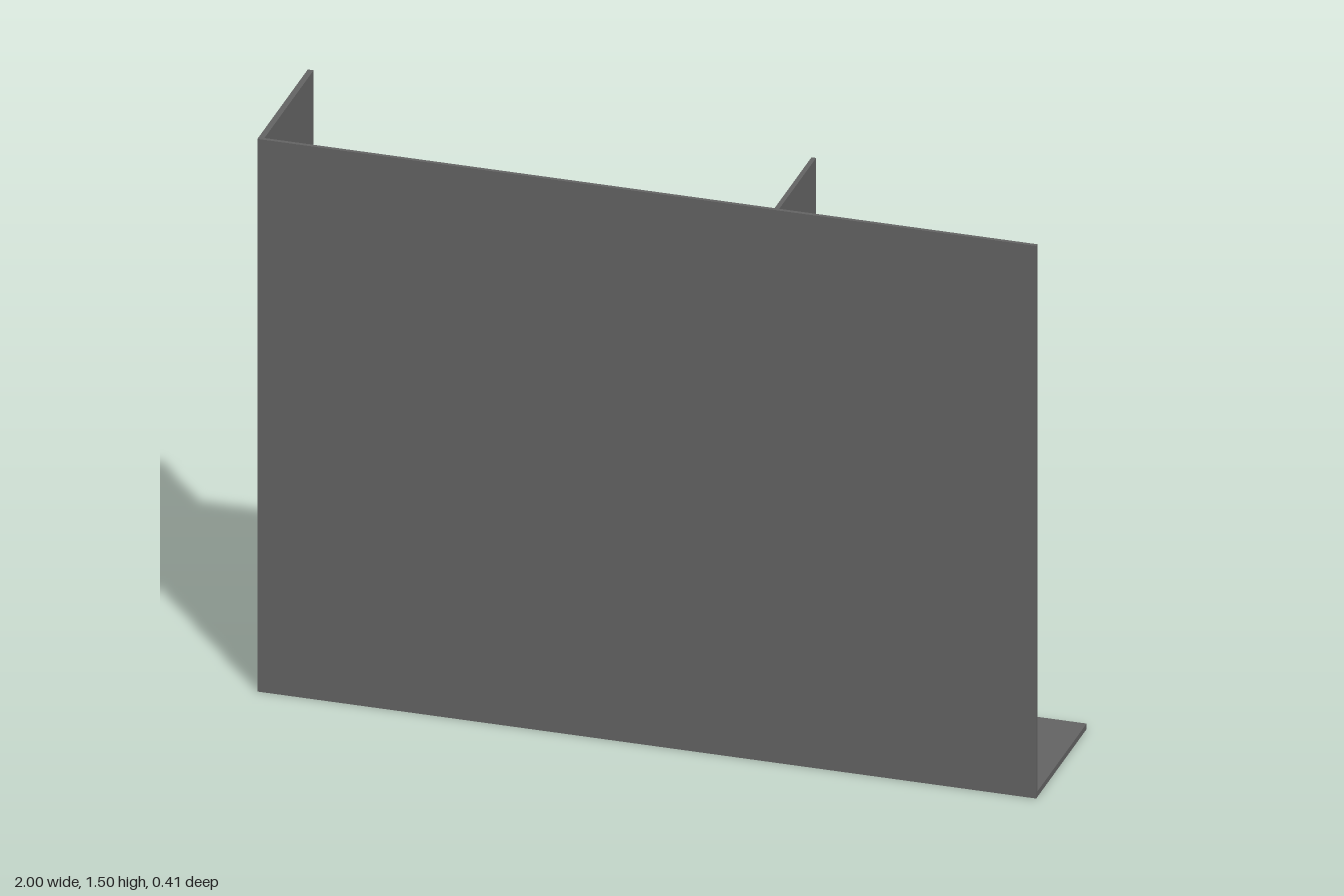
import * as THREE from 'three';

export function createModel() {
  const group = new THREE.Group();
  const darkGrey = new THREE.MeshStandardMaterial({ color: 0x646464 });
  darkGrey.name = 'darkGrey';

  // Box given by its min and max on each axis
  function addBox(name, [x0, x1], [y0, y1], [z0, z1]) {
    const mesh = new THREE.Mesh(new THREE.BoxGeometry(x1 - x0, y1 - y0, z1 - z0), darkGrey);
    mesh.position.set((x0 + x1) / 2, (y0 + y1) / 2, (z0 + z1) / 2);
    mesh.name = name;
    group.add(mesh);
  }

  const back = -0.205, front = 0.205, inner = 0.195;
  const height = 1.503, floor = 0.015;

  // Outer panels: full front, floor and one closed side
  addBox('frontPanel', [-1, 1], [0, height], [inner, front]);
  addBox('floorPanel', [-1, 1], [0, floor], [back, inner]);
  addBox('sidePanel', [-1, -0.985], [floor, height], [back, inner]);

  // Shallower upright and the small block fixed behind the front panel
  addBox('divider', [0.325, 0.337], [floor, height], [-0.105, inner]);
  addBox('supportBlock', [0.81, 0.883], [1.36, 1.4], [0.005, inner]);

  return group;
}
